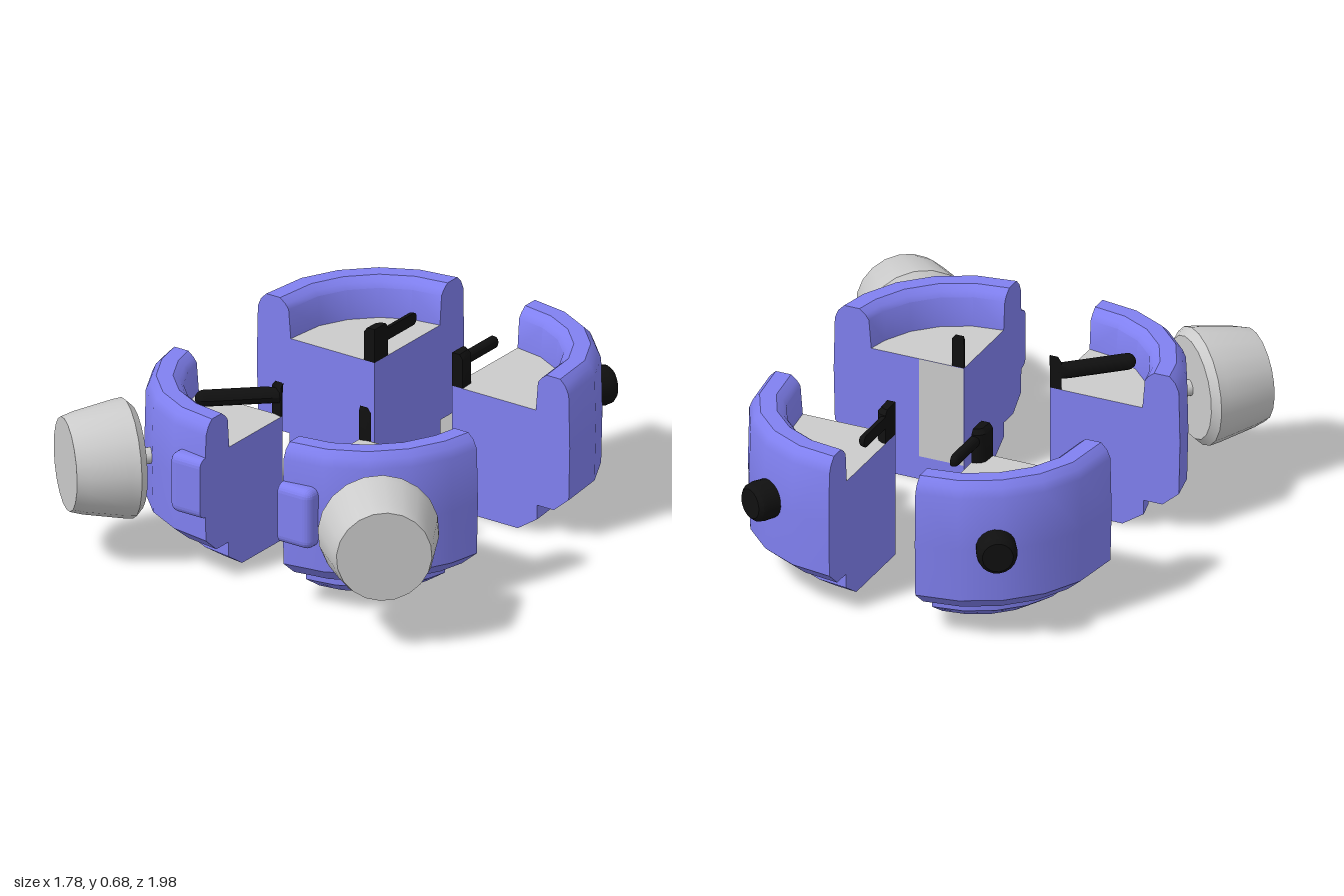
import * as THREE from 'three';
import { toCreasedNormals } from 'three/addons/utils/BufferGeometryUtils.js';
import { RoundedBoxGeometry } from 'three/addons/geometries/RoundedBoxGeometry.js';

const D = THREE.DoubleSide;
const blue = new THREE.MeshStandardMaterial({ color: 0x8080f0, side: D });
const grey = new THREE.MeshStandardMaterial({ color: 0xcccccc, side: D });
const black = new THREE.MeshStandardMaterial({ color: 0x101010, side: D });

const TRAY = 0.52;
// Half section of the casing: foot, belly, rim, then the recessed dial
const CASE = [[0, 0], [0.31, 0], [0.4, 0.06], [0.4, 0.12], [0.48, 0.12], [0.55, 0.18], [0.555, 0.4],
  [0.55, 0.62], [0.535, 0.655], [0.51, 0.68], [0.445, 0.68], [0.42, 0.66], [0.405, 0.64], [0.395, TRAY], [0, TRAY]];
const HUB = [[0, TRAY], [0.05, TRAY], [0.05, 0.64], [0.035, 0.66], [0, 0.66]];

function add(parent, name, geometry, material) {
  const mesh = new THREE.Mesh(geometry, material);
  mesh.name = name;
  parent.add(mesh);
  return mesh;
}

const lathe = (pts, segs, start, sweep) =>
  new THREE.LatheGeometry(pts.map(([r, y]) => new THREE.Vector2(r, y)), segs, start, sweep);

// Move every vertex onto the outer side of the two cutting planes
function clip(geometry, off) {
  const p = geometry.attributes.position;
  for (let i = 0; i < p.count; i++) {
    p.setX(i, Math.max(0, p.getX(i)));
    p.setZ(i, Math.max(off, p.getZ(i)));
  }
  geometry.computeVertexNormals();
  return geometry;
}

// Quarter turn of a profile whose last column lies on the cut z = off
function sector(pts, off, segs = 5) {
  const g = lathe(pts, segs, 0, Math.PI / 2);
  const p = g.attributes.position;
  for (let i = 0; i < p.count; i++) {
    const last = i >= segs * pts.length;
    p.setZ(i, last ? off : Math.max(off, p.getZ(i)));
  }
  return toCreasedNormals(g, 0.62);
}

// The two flat faces that close a sector
function addCuts(parent, name, pts, off, material) {
  const side = new THREE.Shape(pts.map(([r, y]) => new THREE.Vector2(r, y)));
  add(parent, name, new THREE.ShapeGeometry(side), material).position.z = off;
  const inner = new THREE.Shape(pts.map(([r, y]) => new THREE.Vector2(-(r || off), y)));
  add(parent, name, new THREE.ShapeGeometry(inner), material).rotation.y = Math.PI / 2;
}

// Turned part on a horizontal axis pointing along (dx, dz)
function addTurned(parent, name, pts, pos, dx, dz, material) {
  const g = toCreasedNormals(lathe(pts, 20, 0, Math.PI * 2), 0.6);
  const mesh = add(parent, name, g, material);
  mesh.position.set(...pos);
  mesh.quaternion.setFromUnitVectors(new THREE.Vector3(0, 1, 0), new THREE.Vector3(dx, 0, dz).normalize());
}

function quarter(sx, front) {
  const g = new THREE.Group();
  const off = front ? 0.04 : -0.04;
  g.name = (front ? 'front' : 'back') + (sx > 0 ? 'Left' : 'Right') + 'Quarter';
  add(g, 'casing', sector(CASE.slice(0, -1), off), blue);
  addCuts(g, 'casingCut', CASE, off, blue);
  add(g, 'dial', sector([[0.395, TRAY], [0, TRAY]], off), grey);
  add(g, 'handHub', sector(HUB, off, 4), black);
  addCuts(g, 'handHubCut', HUB, off, black);

  if (front) {
    // Bell on a short stem
    addTurned(g, 'bellStem', [[0.032, -0.14], [0.032, 0.02]], [0.39, 0.405, 0.473], 0.65, 0.76, grey);
    addTurned(g, 'bell', [[0, 0], [0.205, 0], [0.235, 0.03], [0.23, 0.07], [0.2, 0.225], [0.185, 0.275], [0, 0.275]],
      [0.39, 0.405, 0.473], 0.65, 0.76, grey);
    // Half of the front button
    const button = new RoundedBoxGeometry(0.3, 0.25, 0.16, 3, 0.035);
    button.translate(0, 0.405, 0.51);
    add(g, 'button', clip(button, off), blue);
  } else {
    addTurned(g, 'rearPeg', [[0, -0.18], [0.075, -0.18], [0.08, -0.04], [0.075, -0.015], [0.06, 0], [0, 0]],
      [0.345, 0.41, 0.535], 0.5, 0.86, black);
    // Half of the minute hand
    const hand = new RoundedBoxGeometry(0.06, 0.05, 0.6, 2, 0.022);
    hand.translate(0, 0.61, -0.06);
    add(g, 'minuteHand', clip(hand, off), black);
  }

  if (front && sx < 0) {
    // Hour hand, trimmed at the cut
    const hand = new THREE.CapsuleGeometry(0.033, 0.32, 4, 10, 8);
    hand.rotateX(Math.PI / 2).rotateY(Math.atan2(0.255, 0.235));
    hand.translate(0.125, 0.6, 0.117);
    add(g, 'hourHand', clip(hand, off), black);
  }
  if (front && sx > 0) {
    // Pale strip on the cut face
    const strip = new THREE.PlaneGeometry(0.19, 0.42);
    add(g, 'innerPanel', strip, grey).position.set(0.095, 0.31, off - 0.003);
  }

  g.position.set(sx * 0.183, 0, front ? 0.18 : -0.43);
  g.scale.set(sx, 1, front ? 1 : -1);
  return g;
}

export function createModel() {
  const model = new THREE.Group();
  model.name = 'splitAlarmClock';
  for (const sx of [1, -1]) for (const front of [true, false]) model.add(quarter(sx, front));
  return model;
}
